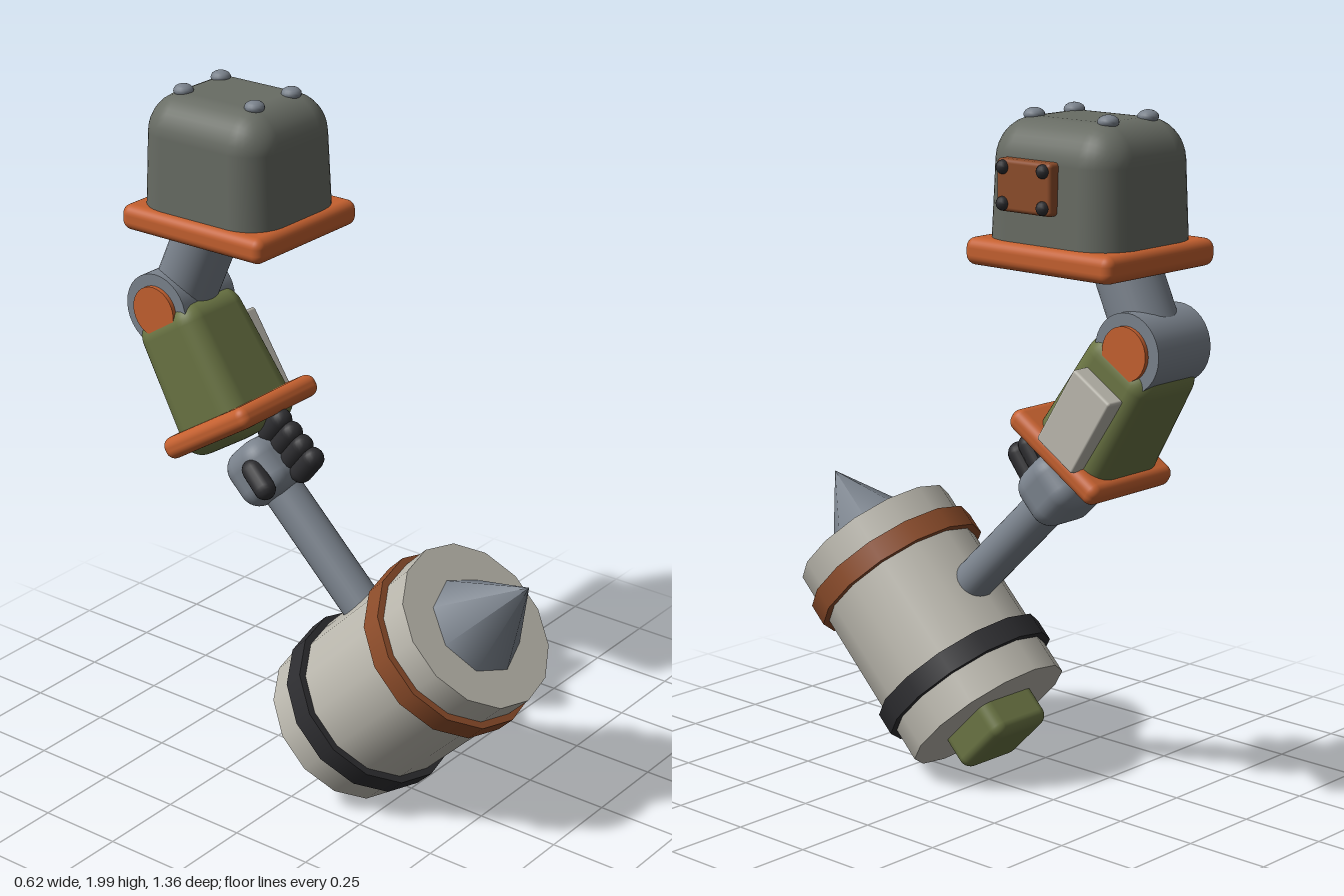
import * as THREE from 'three';
import { RoundedBoxGeometry } from 'three/addons/geometries/RoundedBoxGeometry.js';

const mat = (color) => new THREE.MeshStandardMaterial({ color });
const ORANGE = mat(0xc4602f), RUST = mat(0x8c4c2a), GREY = mat(0x686c64), METAL = mat(0x7a828c),
  OLIVE = mat(0x6b7544), PALE = mat(0xbbb8ae), DARK = mat(0x2d2d30);
const ARM_X = -0.04; // the arm hangs slightly off the shoulder's centre

function add(parent, name, geometry, material, x = 0, y = 0, z = 0) {
  const mesh = new THREE.Mesh(geometry, material);
  mesh.name = name;
  mesh.position.set(x, y, z);
  parent.add(mesh);
  return mesh;
}

function group(parent, name, x, y, z, tilt = 0) {
  const g = new THREE.Group();
  g.name = name;
  g.position.set(x, y, z);
  g.rotation.x = tilt;
  parent.add(g);
  return g;
}

const box = (w, h, d, r) => new RoundedBoxGeometry(w, h, d, 4, r);
const cyl = (r, h, n = 32) => new THREE.CylinderGeometry(r, r, h, n);

// Turn a y-aligned mesh so that it points along a direction
function aim(mesh, dir) {
  mesh.quaternion.setFromUnitVectors(new THREE.Vector3(0, 1, 0), dir.clone().normalize());
  return mesh;
}

function rod(parent, name, a, b, r, material) {
  const dir = b.clone().sub(a), mid = a.clone().add(b).multiplyScalar(0.5);
  return aim(add(parent, name, cyl(r, dir.length()), material, mid.x, mid.y, mid.z), dir);
}

// Narrow a box towards its top; optionally flatten everything below a level
function taper(geo, amount, floor = -Infinity) {
  geo.computeBoundingBox();
  const { min, max } = geo.boundingBox, p = geo.attributes.position;
  for (let i = 0; i < p.count; i++) {
    const k = 1 - amount * (p.getY(i) - min.y) / (max.y - min.y);
    p.setXYZ(i, p.getX(i) * k, Math.max(p.getY(i), floor), p.getZ(i) * k);
  }
  return geo;
}

export function createModel() {
  const model = new THREE.Group();
  model.name = 'hammerArm';
  const v = (y, z) => new THREE.Vector3(ARM_X, y, z);

  // Shoulder: flat plate, domed housing, bolts and a side hatch
  const shoulder = group(model, 'shoulder', 0.065, 0, -0.425);
  add(shoulder, 'shoulderPlate', box(0.45, 0.075, 0.51, 0.028), ORANGE, 0, 1.62, 0);
  add(shoulder, 'shoulderHousing', taper(box(0.41, 0.48, 0.475, 0.11), 0.08, -0.12), GREY, 0, 1.74, 0);
  for (const sx of [-1, 1]) for (const sz of [-1, 1]) {
    add(shoulder, 'roofBolt', new THREE.SphereGeometry(0.029, 16, 10), METAL, sx * 0.081, 1.982, sz * 0.128)
      .scale.y = 0.65;
  }
  add(shoulder, 'sideHatch', box(0.05, 0.14, 0.19, 0.012), RUST, 0.2, 1.81, 0.04);
  for (const sy of [-1, 1]) for (const sz of [-1, 1]) {
    add(shoulder, 'hatchBolt', new THREE.SphereGeometry(0.019, 12, 8), DARK, 0.225, 1.81 + sy * 0.048, 0.04 + sz * 0.07);
  }

  // Upper arm and elbow
  rod(model, 'upperArm', v(1.685, -0.412), v(1.36, -0.56), 0.093, METAL);
  const elbow = group(model, 'elbow', ARM_X, 1.36, -0.56);
  add(elbow, 'elbowDrum', cyl(0.11, 0.22), METAL).rotation.z = Math.PI / 2;
  add(elbow, 'elbowCaps', cyl(0.075, 0.246), ORANGE).rotation.z = Math.PI / 2;

  // Forearm: tapered shell, cuff and side panel
  const forearm = group(model, 'forearm', ARM_X, 1.05, -0.345, -0.56);
  add(forearm, 'forearmShell', taper(box(0.29, 0.43, 0.28, 0.065), 0.14), OLIVE, 0, 0.155, -0.015);
  add(forearm, 'forearmCuff', box(0.345, 0.065, 0.36, 0.028), ORANGE);
  add(forearm, 'sidePanel', box(0.06, 0.25, 0.15, 0.008), PALE, 0.155, 0.147, -0.015);

  // Wrist with finger-like ribs and a thumb
  const hand = group(model, 'hand', 0, 0, 0);
  add(hand, 'wrist', box(0.21, 0.18, 0.18, 0.06), METAL, ARM_X, 0.92, -0.24).rotation.x = -Math.PI / 4;
  for (let i = 0; i < 4; i++) {
    const t = i / 3;
    aim(add(hand, 'rib', new THREE.CapsuleGeometry(0.034, 0.065, 6, 14), DARK, ARM_X,
      1.055 - 0.09 * t, -0.217 + 0.115 * t), new THREE.Vector3(0, 0.78, 0.62));
  }
  aim(add(hand, 'thumb', new THREE.CapsuleGeometry(0.032, 0.07, 6, 14), DARK, -0.147, 0.933, -0.192),
    new THREE.Vector3(-0.25, -0.5, 0.8));

  // Handle runs to the middle of the hammer head
  rod(model, 'handle', v(0.9, -0.23), v(0.43, 0.25), 0.06, METAL);

  // Hammer head: local y is its axis, pointing forward and up
  const head = group(model, 'hammerHead', ARM_X, 0.415, 0.267, Math.PI / 4);
  add(head, 'headDrum', cyl(0.2525, 0.65, 14), PALE);
  add(head, 'frontBand', cyl(0.273, 0.067, 14), RUST, 0, 0.2, 0);
  add(head, 'rearBand', cyl(0.273, 0.067, 14), DARK, 0, -0.19, 0);
  add(head, 'spike', new THREE.ConeGeometry(0.149, 0.24, 8), METAL, 0, 0.445, 0);
  add(head, 'rearBlock', box(0.22, 0.16, 0.22, 0.035), OLIVE, 0, -0.35, 0);

  return model;
}
